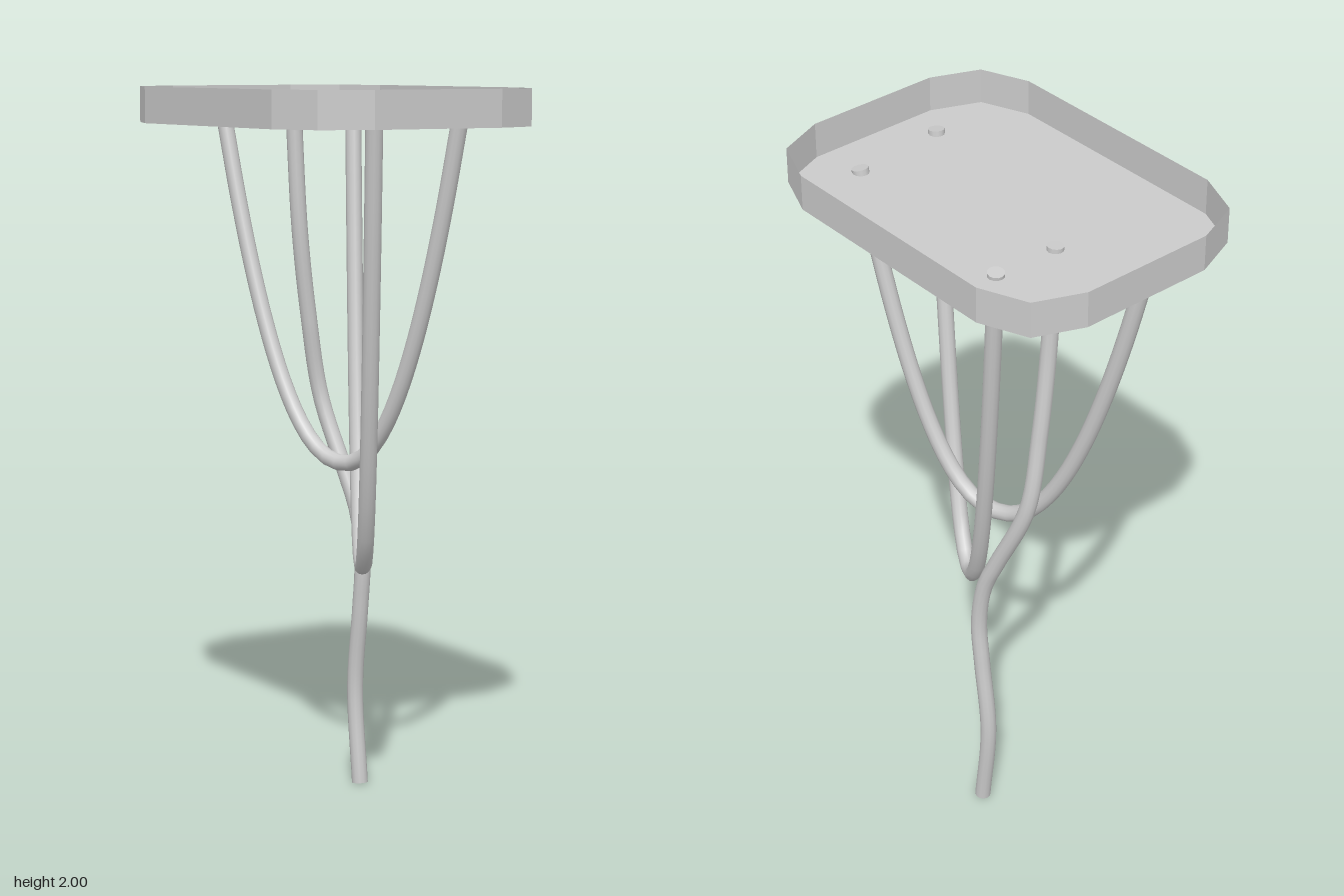
import * as THREE from 'three';

const material = new THREE.MeshStandardMaterial({ color: 0xcccccc });
const thinMaterial = new THREE.MeshStandardMaterial({
  color: 0xcccccc, side: THREE.DoubleSide, flatShading: true,
});

const FLOOR_Y = 1.9;
const CABLE_TOP = 1.912;
const RADIUS = 0.023;

// Round cable along a path, closed with a disc at each end
function createCable(name, points) {
  const group = new THREE.Group();
  group.name = name;
  const curve = new THREE.CatmullRomCurve3(points);
  const tube = new THREE.Mesh(new THREE.TubeGeometry(curve, 48, RADIUS, 12), material);
  tube.name = name + 'Tube';
  group.add(tube);
  for (const end of [0, 1]) {
    const cap = new THREE.Mesh(new THREE.CircleGeometry(RADIUS, 12), material);
    const outward = curve.getTangent(end).multiplyScalar(end ? 1 : -1);
    cap.quaternion.setFromUnitVectors(new THREE.Vector3(0, 0, 1), outward);
    cap.position.copy(curve.getPoint(end));
    cap.name = name + 'End';
    group.add(cap);
  }
  return group;
}

// Hanging loop: rises from its lowest point to both fixing points
function hangingPoints(start, low, end) {
  const points = [];
  const steps = 8;
  for (let i = -steps; i <= steps; i++) {
    const t = Math.abs(i) / steps;
    const target = i < 0 ? start : end;
    points.push(new THREE.Vector3(
      THREE.MathUtils.lerp(low[0], target[0], t),
      low[1] + (CABLE_TOP - low[1]) * Math.pow(t, 2.15),
      THREE.MathUtils.lerp(low[2], target[1], t),
    ));
  }
  return points;
}

// Open tray: clipped-corner floor with a thin upright rim
function createTray() {
  const tray = new THREE.Group();
  tray.name = 'tray';
  const quarter = [[0.385, 0.345], [0.33, 0.48], [0.195, 0.535]];
  const mirrored = [...quarter].reverse();
  const outline = [
    ...quarter,
    ...mirrored.map(([x, z]) => [-x, z]),
    ...quarter.map(([x, z]) => [-x, -z]),
    ...mirrored.map(([x, z]) => [x, -z]),
  ];

  const shape = new THREE.Shape(outline.map(([x, z]) => new THREE.Vector2(x, z)));
  const floor = new THREE.Mesh(new THREE.ShapeGeometry(shape).rotateX(-Math.PI / 2), thinMaterial);
  floor.position.y = FLOOR_Y;
  floor.name = 'trayFloor';

  const positions = [];
  outline.forEach(([x0, z0], i) => {
    const [x1, z1] = outline[(i + 1) % outline.length];
    positions.push(x0, FLOOR_Y, z0, x0, 2, z0, x1, 2, z1);
    positions.push(x0, FLOOR_Y, z0, x1, 2, z1, x1, FLOOR_Y, z1);
  });
  const rimGeometry = new THREE.BufferGeometry();
  rimGeometry.setAttribute('position', new THREE.Float32BufferAttribute(positions, 3));
  rimGeometry.computeVertexNormals();
  const rim = new THREE.Mesh(rimGeometry, thinMaterial);
  rim.name = 'trayRim';

  tray.add(floor, rim);
  return tray;
}

export function createModel() {
  const model = new THREE.Group();
  model.name = 'hangingCables';
  model.add(createTray());

  // Two cable loops, fixed to the tray at both ends
  model.add(createCable('shortLoop',
    hangingPoints([-0.07, -0.46], [0.045, 0.96, -0.005], [0.155, 0.4])));
  model.add(createCable('longLoop',
    hangingPoints([-0.13, 0.43], [0.043, 0.685, 0.105], [0.215, -0.22])));

  // Loose cable hanging down to its free end
  const loose = [
    [0.02, CABLE_TOP, -0.222], [0.037, 1.6, -0.22], [0.07, 1.35, -0.226], [0.108, 1.12, -0.222],
    [0.14, 0.9, -0.135], [0.152, 0.8, -0.095], [0.157, 0.66, -0.075], [0.158, 0.52, -0.088],
    [0.158, 0.28, -0.115], [0.158, 0.003, -0.088],
  ];
  model.add(createCable('looseCable', loose.map((p) => new THREE.Vector3(...p))));
  return model;
}
